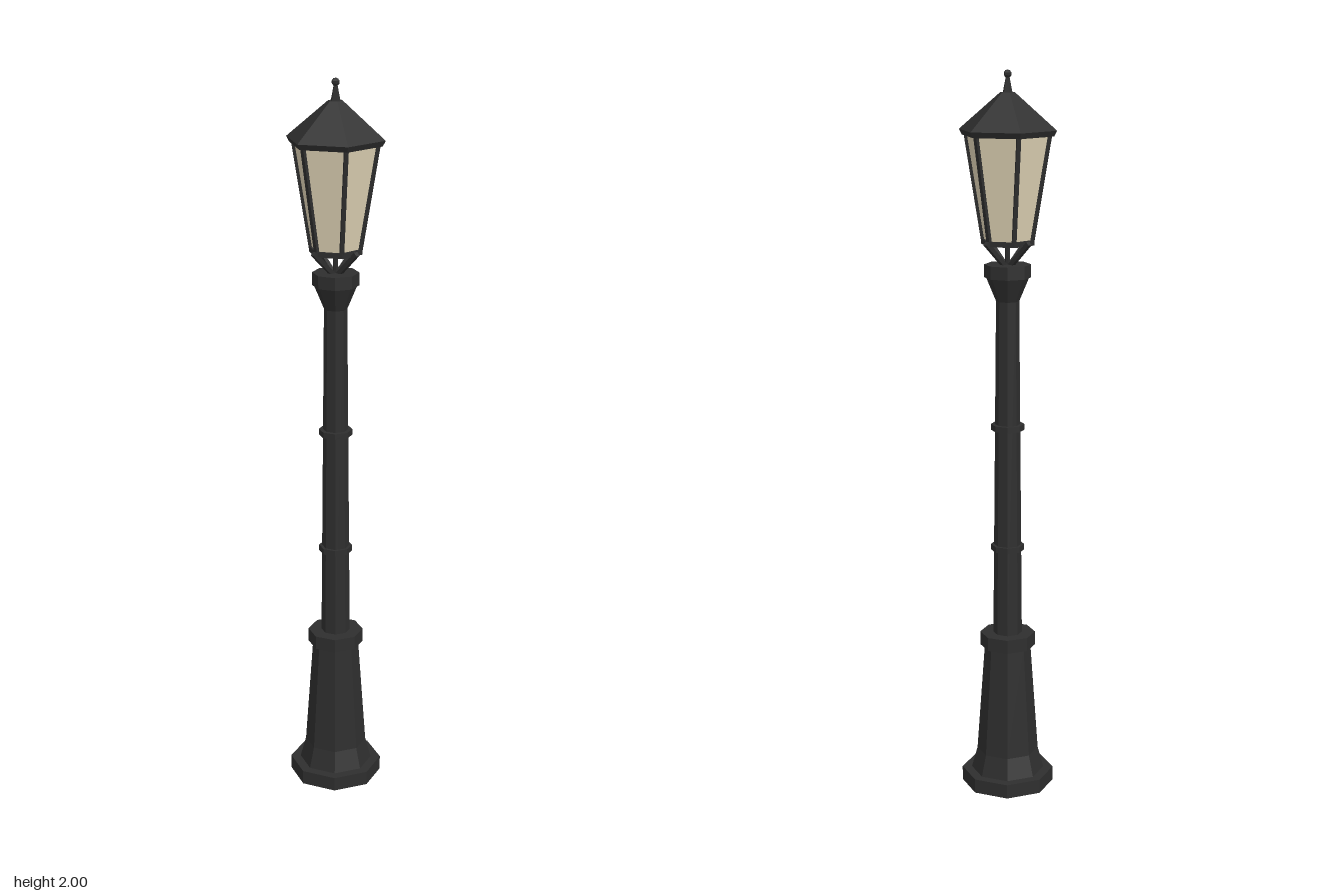
import * as THREE from 'three';

const iron = new THREE.MeshStandardMaterial({ color: 0x2e2e2e });
iron.name = 'dark iron';
const glass = new THREE.MeshStandardMaterial({ color: 0xded2b4 });
glass.name = 'warm glass';

// Separate the faces so every facet is flat
function addFlat(group, name, geometry, material = iron) {
  const flat = geometry.index ? geometry.toNonIndexed() : geometry;
  flat.computeVertexNormals();
  const mesh = new THREE.Mesh(flat, material);
  mesh.name = name;
  group.add(mesh);
  return mesh;
}

// Tapered prism between two heights
function addPrism(group, name, sides, y0, r0, y1, r1, material = iron) {
  const start = sides === 6 ? Math.PI / 6 : 0;
  const g = new THREE.CylinderGeometry(r1, r0, y1 - y0, sides, 1, false, start);
  g.translate(0, (y0 + y1) / 2, 0);
  return addFlat(group, name, g, material);
}

// Square bar between two points
function addBar(group, name, a, b, size) {
  const length = a.distanceTo(b);
  const bar = addFlat(group, name, new THREE.BoxGeometry(size, size, length));
  bar.position.copy(a).lerp(b, 0.5);
  bar.lookAt(b);
}

const polar = (angle, r, y) => new THREE.Vector3(Math.cos(angle) * r, y, Math.sin(angle) * r);

export function createModel() {
  const model = new THREE.Group();
  model.name = 'streetLamp';

  // Octagonal pedestal
  const pedestal = new THREE.Group();
  pedestal.name = 'pedestal';
  addPrism(pedestal, 'foot', 8, 0, 0.129, 0.04, 0.129);
  addPrism(pedestal, 'flare', 8, 0.04, 0.102, 0.1, 0.086);
  addPrism(pedestal, 'body', 8, 0.1, 0.086, 0.412, 0.064);
  addPrism(pedestal, 'collar', 8, 0.412, 0.077, 0.45, 0.077);
  model.add(pedestal);

  // Pole, its rings and the capital
  const pole = new THREE.Group();
  pole.name = 'pole';
  addPrism(pole, 'shaft', 8, 0.45, 0.04, 1.42, 0.031);
  for (const y of [0.7, 1.043]) addPrism(pole, 'ring', 8, y - 0.008, 0.046, y + 0.008, 0.046);
  addPrism(pole, 'capitalFlare', 8, 1.39, 0.031, 1.455, 0.058);
  addPrism(pole, 'capital', 8, 1.455, 0.063, 1.49, 0.063);
  model.add(pole);

  // Four struts and a centre post carry the lantern
  const support = new THREE.Group();
  support.name = 'lanternSupport';
  addPrism(support, 'centrePost', 6, 1.49, 0.007, 1.55, 0.007);
  for (let i = 0; i < 4; i++) {
    const a = i * Math.PI / 2;
    addBar(support, 'strut', polar(a, 0.012, 1.488), polar(a, 0.08, 1.553), 0.012);
  }
  model.add(support);

  // Hexagonal lantern with a bar along each corner
  const lantern = new THREE.Group();
  lantern.name = 'lantern';
  addPrism(lantern, 'floor', 6, 1.543, 0.074, 1.557, 0.074);
  addPrism(lantern, 'panes', 6, 1.556, 0.067, 1.835, 0.114, glass);
  for (let i = 0; i < 6; i++) {
    const a = i * Math.PI / 3;
    addBar(lantern, 'cornerBar', polar(a, 0.067, 1.553), polar(a, 0.114, 1.834), 0.011);
  }
  model.add(lantern);

  // Roof and finial
  const roof = new THREE.Group();
  roof.name = 'roof';
  addPrism(roof, 'eaves', 6, 1.83, 0.126, 1.845, 0.134);
  addPrism(roof, 'slopes', 6, 1.845, 0.134, 1.942, 0.02);
  addPrism(roof, 'finialStem', 6, 1.942, 0.013, 1.982, 0.005);
  const ball = new THREE.SphereGeometry(0.011, 6, 5);
  ball.translate(0, 1.989, 0);
  addFlat(roof, 'finialBall', ball);
  model.add(roof);

  return model;
}
